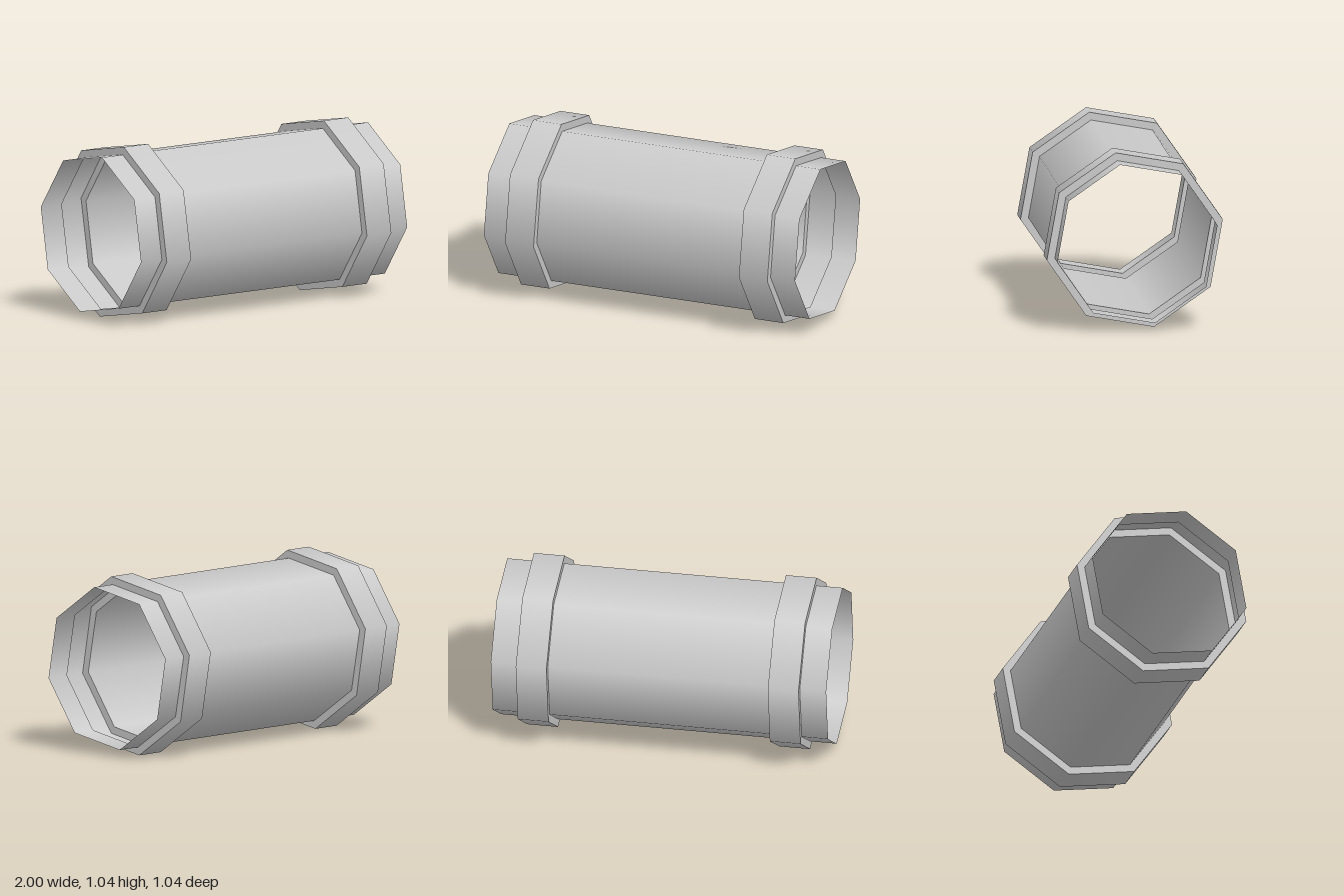
import * as THREE from 'three';

const SIDES = 8;
const TWIST = THREE.MathUtils.degToRad(12.3);
const R_TUBE = 0.484, R_COLLAR = 0.532;
const X_END = 1, X_OUT = 0.843, X_IN = 0.66;

export function createModel() {
  const model = new THREE.Group();
  model.name = 'collaredPipe';
  const material = new THREE.MeshStandardMaterial({ color: 0xcccccc, side: THREE.DoubleSide });

  // One thin octagonal wall from (x0, r0) to (x1, r1) around the x axis
  function wall(name, x0, r0, x1, r1, parent) {
    const geometry = new THREE.LatheGeometry(
      [new THREE.Vector2(r0, x0), new THREE.Vector2(r1, x1)], SIDES, TWIST);
    geometry.rotateZ(-Math.PI / 2);
    const mesh = new THREE.Mesh(geometry, material);
    mesh.name = name;
    parent.add(mesh);
  }

  // Main barrel between the collars
  wall('barrel', -X_IN, R_TUBE, X_IN, R_TUBE, model);

  // Hollow raised collar and open lip at each end
  for (const [side, lip, collar] of [
    ['right', [-X_END, -X_OUT], [-X_OUT, -X_IN]],
    ['left', [X_OUT, X_END], [X_IN, X_OUT]],
  ]) {
    wall(side + 'Lip', lip[0], R_TUBE, lip[1], R_TUBE, model);
    const group = new THREE.Group();
    group.name = side + 'Collar';
    wall('collarStepUp', collar[0], R_TUBE, collar[0], R_COLLAR, group);
    wall('collarBand', collar[0], R_COLLAR, collar[1], R_COLLAR, group);
    wall('collarStepDown', collar[1], R_COLLAR, collar[1], R_TUBE, group);
    model.add(group);
  }

  // Lift so the collars rest on the ground
  for (const part of model.children) part.position.y = R_COLLAR * Math.cos(TWIST);
  return model;
}
